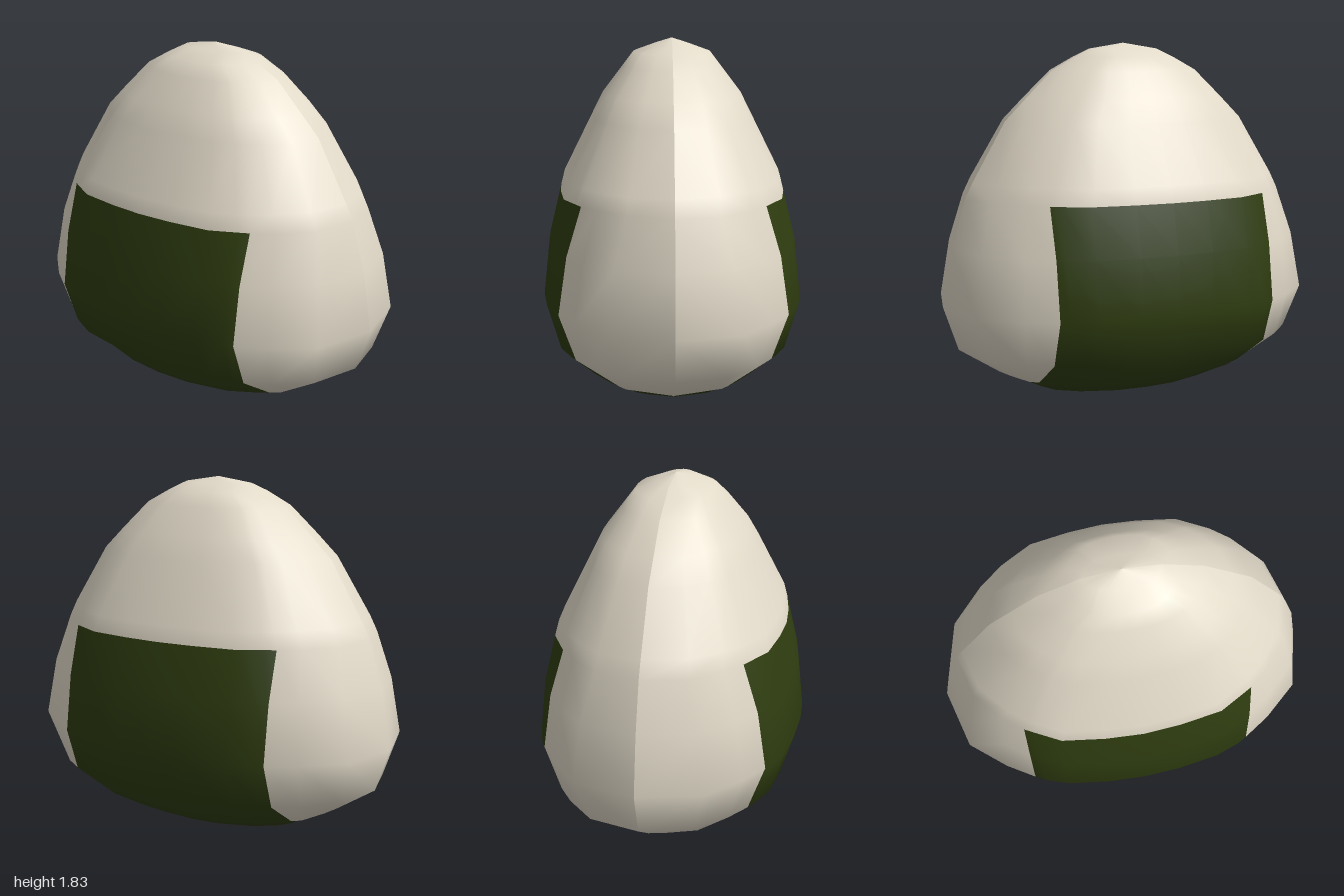
import * as THREE from 'three';

// Half width and half depth by height, and the rounding of a level section (depth by width, both 0..1)
const WIDTH = [[0, 0], [0.05, 0.49], [0.14, 0.7], [0.28, 0.92], [0.51, 1], [0.8, 0.95], [1.08, 0.865], [1.44, 0.655], [1.69, 0.4], [1.8, 0.19], [1.83, 0]];
const DEPTH = [[0, 0], [0.05, 0.29], [0.15, 0.48], [0.29, 0.615], [0.52, 0.68], [0.82, 0.645], [1.14, 0.565], [1.55, 0.36], [1.76, 0.2], [1.83, 0]];
const SECTION = [[0, 1], [0.2, 0.985], [0.48, 0.925], [0.7, 0.745], [0.92, 0.47], [1, 0]];

const WRAP_TOP = 1.06, WRAP_HALF = 0.59, WRAP_LOW = 0.093;
const ROWS = [0, 0.05, WRAP_LOW, 0.145, 0.285, 0.515, 0.81, WRAP_TOP, 1.14, 1.44, 1.55, 1.69, 1.76, 1.8, 1.83];
const INNER = [0, 0.33, 0.7, 0.92, 1];   // columns under the wrap
const OUTER = [0.35, 0.8, 1];            // columns beside it

function lerpTable(table, t) {
  for (let i = 1; i < table.length; i++) {
    const [a, va] = table[i - 1], [b, vb] = table[i];
    if (t <= b) return va + (vb - va) * (t - a) / (b - a);
  }
  return table[table.length - 1][1];
}

// One half of the rice ball; the seam between halves stays a crease
function buildHalf(side) {
  const positions = [], rice = [], wrap = [];
  const last = INNER.length + OUTER.length - 1, cols = 2 * last + 1;
  for (const y of ROWS) {
    const w = lerpTable(WIDTH, y), d = lerpTable(DEPTH, y);
    const edge = y > WRAP_TOP ? w * 0.675 : Math.min(WRAP_HALF, w);
    const xs = [...INNER.map(t => edge * t), ...OUTER.map(s => edge + (w - edge) * s)];
    for (let j = -last; j <= last; j++) {
      const x = xs[Math.abs(j)];
      const z = w > 0 ? d * lerpTable(SECTION, Math.min(1, x / w)) : 0;
      positions.push(Math.sign(j) * x, y, side * z);
    }
  }
  for (let i = 0; i < ROWS.length - 1; i++) {
    for (let j = 0; j < cols - 1; j++) {
      const middle = Math.abs(j + 0.5 - last) < INNER.length - 1;
      if (!middle && ROWS[i + 1] < WRAP_LOW) continue; // the wrap covers the whole underside
      const a = i * cols + j, b = a + 1, c = b + cols, d = a + cols;
      const target = middle && ROWS[i] < WRAP_TOP ? wrap : rice;
      if (i > 0) target.push(...(side > 0 ? [a, b, c] : [a, c, b]));
      if (i < ROWS.length - 2) target.push(...(side > 0 ? [a, c, d] : [a, d, c]));
      else continue;
      if (i === 0) continue;
    }
  }
  // Normals are shared by both colours so the surface stays smooth across the wrap edge
  const whole = new THREE.BufferGeometry();
  whole.setAttribute('position', new THREE.Float32BufferAttribute(positions, 3));
  whole.setIndex([...rice, ...wrap]);
  whole.computeVertexNormals();
  return [rice, wrap].map(index => {
    const g = new THREE.BufferGeometry();
    g.setAttribute('position', whole.getAttribute('position'));
    g.setAttribute('normal', whole.getAttribute('normal'));
    g.setIndex(index);
    return g;
  });
}

export function createModel() {
  const model = new THREE.Group();
  model.name = 'riceBall';
  const riceMat = new THREE.MeshStandardMaterial({ color: 0xe2dac9 });
  riceMat.name = 'rice';
  const seaweedMat = new THREE.MeshStandardMaterial({ color: 0x2f3d10 });
  seaweedMat.name = 'seaweed';

  for (const [label, side] of [['Front', 1], ['Back', -1]]) {
    const [riceGeo, wrapGeo] = buildHalf(side);
    const rice = new THREE.Mesh(riceGeo, riceMat);
    rice.name = 'rice' + label;
    const wrap = new THREE.Mesh(wrapGeo, seaweedMat);
    wrap.name = 'seaweedWrap' + label;
    model.add(rice, wrap);
  }
  return model;
}
